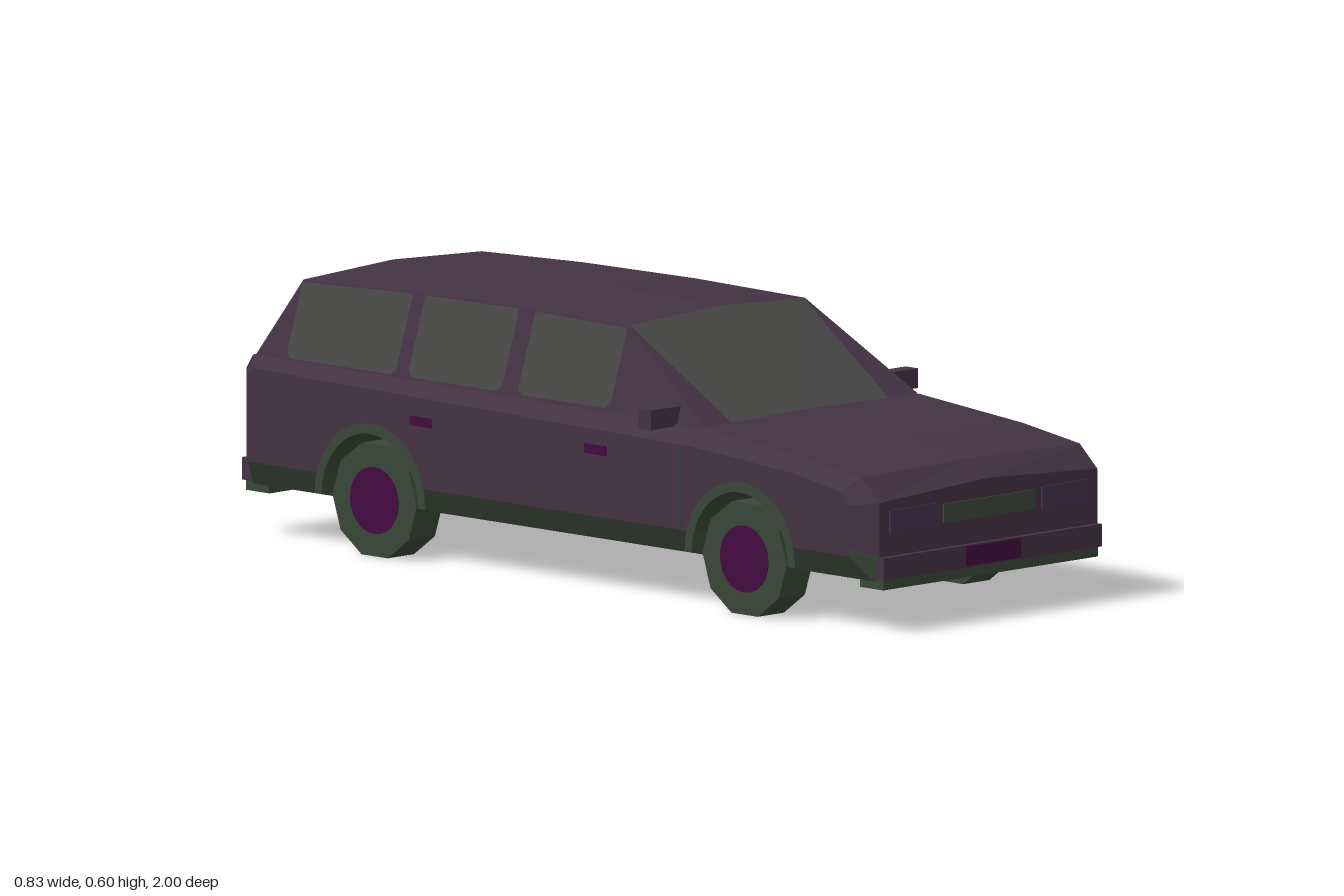
import * as THREE from 'three';

const paint = (name, color) => Object.assign(new THREE.MeshStandardMaterial({ color }), { name });

export function createModel() {
  const car = new THREE.Group();
  car.name = 'estateCar';
  const body = paint('plum paint', 0x443243);
  const trim = paint('dark green trim', 0x3a4638);
  const glass = paint('grey glass', 0x464645);
  const accent = paint('magenta metal', 0x430c40);
  const lampMat = paint('violet lamp', 0x443050);

  const add = (name, geometry, material, x = 0, y = 0, z = 0) => {
    const mesh = new THREE.Mesh(geometry, material);
    mesh.name = name;
    mesh.position.set(x, y, z);
    car.add(mesh);
    return mesh;
  };
  // box from its minimum and maximum corners
  const box = (name, material, [x0, y0, z0], [x1, y1, z1]) =>
    add(name, new THREE.BoxGeometry(x1 - x0, y1 - y0, z1 - z0), material, (x0 + x1) / 2, (y0 + y1) / 2, (z0 + z1) / 2);
  const facets = (positions) => {
    const g = new THREE.BufferGeometry();
    g.setAttribute('position', new THREE.Float32BufferAttribute(positions, 3));
    g.computeVertexNormals();
    return g;
  };
  // flat-faced skin over rows of points; pick chooses which cells are kept
  const skin = (rows, pick = () => true) => {
    const out = [];
    for (let i = 0; i < rows.length - 1; i++)
      for (let j = 0; j < rows[i].length - 1; j++) {
        if (!pick(i, j)) continue;
        const [a, b, c, d] = [rows[i][j], rows[i + 1][j], rows[i + 1][j + 1], rows[i][j + 1]];
        out.push(...a, ...b, ...c, ...a, ...c, ...d);
      }
    return out;
  };

  // ---- Lower body: side outlines (z, y) at several widths, joined across x ----
  const wheelZ = [-0.565, 0.587], archY = 0.125, archR = 0.153;
  const outline = (top, bottomY) => {
    const pts = top.map((p) => [...p]);
    const a0 = Math.asin((bottomY - archY) / archR);
    for (const z of wheelZ)
      for (let k = 0; k <= 10; k++) {
        const a = Math.PI - a0 - (k / 10) * (Math.PI - 2 * a0);
        pts.push([z + archR * Math.cos(a), archY + archR * Math.sin(a)]);
      }
    pts.push([...pts[0]]);
    return pts;
  };
  const inner = outline([[0.965, 0.115], [0.985, 0.17], [0.985, 0.292], [0.93, 0.342], [0.75, 0.368], [0.43, 0.396],
    [-0.965, 0.403], [-0.985, 0.372], [-0.985, 0.17], [-0.965, 0.115]], 0.115);
  const outer = outline([[0.92, 0.17], [0.925, 0.19], [0.925, 0.283], [0.9, 0.312], [0.75, 0.336], [0.43, 0.36],
    [-0.93, 0.38], [-0.945, 0.365], [-0.945, 0.19], [-0.945, 0.17]], 0.17);
  const crown = inner.map(([z, y], i) => [z, y + (i === 2 ? 0.018 : i > 2 && i < 6 ? 0.006 : 0)]);
  const at = (x, pts) => pts.map(([z, y]) => [x, y, z]);
  const rows = [at(-0.375, outer), at(-0.34, inner), at(0, crown), at(0.34, inner), at(0.375, outer)];
  const isPaint = (j) => j >= 1 && j <= 7;
  const painted = skin(rows, (i, j) => isPaint(j));
  // flat door sides closing the outline
  const flat = outer.slice(0, -1).map(([z, y]) => new THREE.Vector2(z, y));
  for (const tri of THREE.ShapeUtils.triangulateShape(flat, []))
    for (const s of [-1, 1])
      for (const k of s < 0 ? tri : [...tri].reverse()) painted.push(s * 0.375, flat[k].y, flat[k].x);
  add('bodyShell', facets(painted), body);
  add('sillsAndUnderside', facets(skin(rows, (i, j) => !isPaint(j))), trim);

  // ---- Cabin ----
  const sideX = (y) => 0.335 - (y - 0.398) * 0.324;
  const roofZ = [0.14, -0.2, -0.55, -0.87], roofY = [0.585, 0.59, 0.586, 0.574];
  const baseZ = [0.43, -0.2, -0.55, -0.965];
  const baseRow = (s) => baseZ.map((z) => [s * 0.335, 0.398, z]);
  const edgeRow = (s) => roofZ.map((z, i) => [s * sideX(roofY[i]), roofY[i], z]);
  const ridge = roofZ.map((z, i) => [0, roofY[i] + 0.013, z]);
  add('roofAndSides', facets(skin([baseRow(-1), edgeRow(-1), ridge, edgeRow(1), baseRow(1)])), body);

  // windscreen and rear window, each with a pillar at both sides
  const screen = (name, pillarName, topI, bottomZ, glassBottom) => {
    const topX = sideX(roofY[topI]), y = roofY[topI], z = roofZ[topI];
    const columns = [[-0.335, -topX], [-glassBottom, 0.004 - topX], [0, 0], [glassBottom, topX - 0.004], [0.335, topX]]
      .map(([b, t]) => {
        const pair = [[b, b === 0 ? 0.402 : 0.398, bottomZ], [t, y + 0.013 * (1 - Math.abs(t) / topX), z]];
        return bottomZ > 0 ? pair : pair.reverse();
      });
    add(name, facets(skin(columns, (i) => i === 1 || i === 2)), glass);
    add(pillarName, facets(skin(columns, (i) => i === 0 || i === 3)), body);
  };
  screen('windscreen', 'frontPillars', 0, 0.43, 0.245);
  screen('rearWindow', 'rearPillars', 3, -0.965, 0.26);

  // height of the roof edge at any z
  const edgeY = (z) => {
    const i = z > roofZ[1] ? 0 : z > roofZ[2] ? 1 : 2;
    return THREE.MathUtils.mapLinear(z, roofZ[i], roofZ[i + 1], roofY[i], roofY[i + 1]);
  };
  // side windows: thin panes with clipped lower corners
  for (const s of [-1, 1])
    for (const [front, rear] of [[0.14, -0.148], [-0.198, -0.49], [-0.528, -0.868]]) {
      const zs = [front, front - 0.015, rear + 0.015, rear];
      const low = zs.map((z, i) => (i % 3 ? 0.406 : 0.418));
      const line = (ys) => zs.map((z, i) => [s * (sideX(ys[i]) + 0.003), ys[i], z]);
      const bottom = line(low), top = line(zs.map((z) => edgeY(z) - 0.005));
      add('sideWindow', facets(skin(s < 0 ? [bottom, top] : [top, bottom])), glass);
    }

  // ---- Wheels and arch trims ----
  for (const z of wheelZ)
    for (const s of [-1, 1]) {
      const tyre = new THREE.CylinderGeometry(0.131, 0.131, 0.082, 10).rotateZ(Math.PI / 2).toNonIndexed();
      tyre.computeVertexNormals();
      add('tyre', tyre, trim, s * 0.321, 0.1246, z);
      add('hub', new THREE.CylinderGeometry(0.075, 0.075, 0.086, 24).rotateZ(Math.PI / 2), accent, s * 0.321, 0.1246, z);

      const ring = new THREE.Shape();
      ring.absarc(0, 0, 0.172, 0, Math.PI, false);
      ring.absarc(0, 0, 0.15, Math.PI, 0, true);
      const arch = new THREE.ExtrudeGeometry(ring, { depth: 0.036, bevelEnabled: false, curveSegments: 10 });
      add('archTrim', arch.rotateY(Math.PI / 2), trim, s > 0 ? 0.341 : -0.377, archY, z);
    }

  // ---- Bumpers ----
  for (const [end, s] of [['front', 1], ['rear', -1]]) {
    const span = (a, b) => (s > 0 ? [a, b] : [-b, -a]);
    const [z0, z1] = span(0.93, 1), [l0, l1] = span(0.92, 0.992);
    box(end + 'Bumper', body, [-0.34, 0.12, z0], [0.34, 0.17, z1]);
    box(end + 'BumperLip', trim, [-0.335, 0.097, l0], [0.335, 0.12, l1]);
  }

  // ---- Front and rear details ----
  box('grille', trim, [-0.143, 0.225, 0.983], [0.143, 0.268, 0.989]);
  box('frontPlate', accent, [-0.085, 0.124, 0.996], [0.085, 0.167, 1.002]);
  box('rearPlate', accent, [-0.085, 0.203, -0.989], [0.085, 0.247, -0.983]);
  for (const s of [-1, 1]) {
    const pair = (name, material, x0, x1, y0, y1, z0, z1) =>
      box(name, material, [s > 0 ? x0 : -x1, y0, z0], [s > 0 ? x1 : -x0, y1, z1]);
    pair('headlamp', lampMat, 0.165, 0.31, 0.221, 0.272, 0.983, 0.989);
    pair('tailLamp', trim, 0.15, 0.333, 0.253, 0.313, -0.989, -0.983);
    pair('mirror', body, 0.325, 0.417, 0.391, 0.435, 0.312, 0.35);
    for (const z of [0.137, -0.407]) pair('doorHandle', accent, 0.37, 0.379, 0.309, 0.33, z - 0.033, z + 0.033);
    for (const z of [0.4, -0.145]) pair('doorSeam', trim, 0.373, 0.3755, 0.17, 0.355, z - 0.0015, z + 0.0015);
  }
  return car;
}
